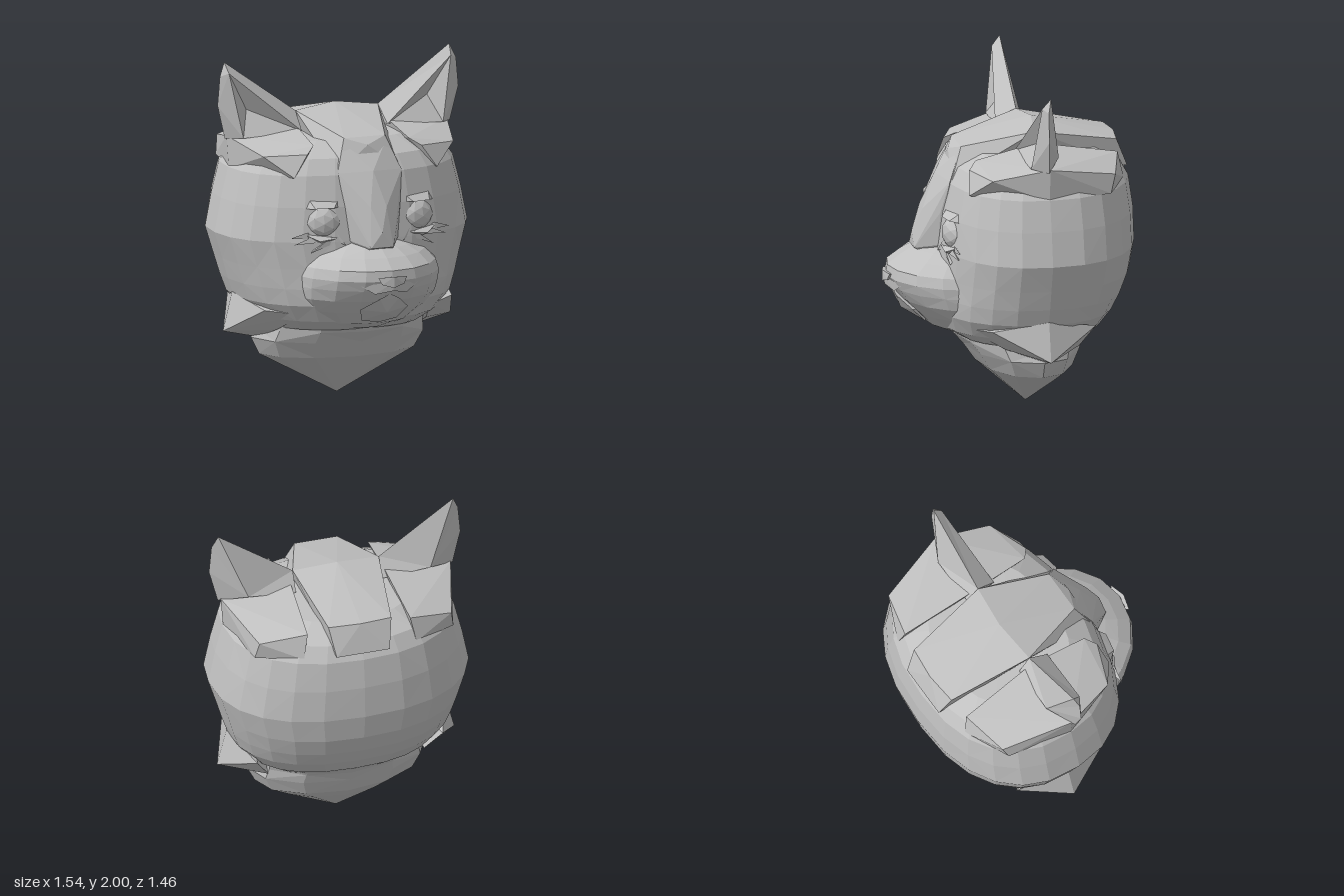
import * as THREE from 'three';
import { ConvexGeometry } from 'three/addons/geometries/ConvexGeometry.js';

const fur = new THREE.MeshStandardMaterial({ color: 0xc0c0c0 });
fur.name = 'grey fur';
fur.flatShading = true;
fur.side = THREE.DoubleSide;

function part(name, geometry, parent) {
  const mesh = new THREE.Mesh(geometry, fur);
  mesh.name = name;
  parent.add(mesh);
  return mesh;
}

function faceted(positions, indices) {
  const indexed = new THREE.BufferGeometry();
  indexed.setAttribute('position', new THREE.Float32BufferAttribute(positions, 3));
  indexed.setIndex(indices);
  const flat = indexed.toNonIndexed();
  flat.computeVertexNormals();
  return flat;
}

// Stack of rounded horizontal rings; rows run downward as [y, halfWidth, zFront, zBack]
function loft(rows, segments, power, zMid) {
  const pos = [], idx = [];
  const bend = (v) => Math.sign(v) * Math.abs(v) ** (2 / power);
  for (const [y, w, zf, zb] of rows) {
    for (let j = 0; j < segments; j++) {
      const a = (j / segments) * Math.PI * 2;
      const c = bend(Math.cos(a));
      pos.push(w * bend(Math.sin(a)), y, zMid + c * (c > 0 ? zf - zMid : zMid - zb));
    }
  }
  for (let i = 0; i < rows.length - 1; i++) {
    for (let j = 0; j < segments; j++) {
      const k = (j + 1) % segments;
      const a = i * segments + j, b = i * segments + k;
      const c = a + segments, d = b + segments;
      // alternating diagonals give the faceted coat
      if ((i + j) % 2) idx.push(c, d, b, c, b, a);
      else idx.push(c, d, a, d, b, a);
    }
  }
  return faceted(pos, idx);
}

const hull = (points) => new ConvexGeometry(points.map((p) => new THREE.Vector3(...p)));
const bothSides = (points) => points.flatMap(([x, y, z]) => (x ? [[x, y, z], [-x, y, z]] : [[x, y, z]]));

function earGeometry() {
  const points = [
    [0.26, 1.68, -0.12], // 0 inner root
    [0.27, 1.58, 0.0],   // 1 inner front root
    [0.70, 1.94, -0.07], // 2 front of tip
    [0.71, 2.0, -0.12],  // 3 tip
    [0.745, 1.92, -0.1], // 4 outer edge
    [0.76, 1.75, -0.1],  // 5 outer edge
    [0.71, 1.55, -0.11], // 6 outer root
    [0.63, 1.56, -0.02], // 7 outer front root
    [0.57, 1.71, -0.12], // 8 inner hollow
    [0.55, 1.60, -0.2],  // 9 back bulge
    [0.26, 1.57, -0.19], // 10 inner back root
  ];
  return faceted(points.flat(), [
    0, 1, 2, 0, 2, 3, 1, 8, 2, 1, 7, 8, 8, 7, 2, 7, 6, 5, 7, 5, 2, 2, 5, 4, 2, 4, 3,
    0, 3, 9, 0, 9, 10, 3, 4, 9, 4, 5, 9, 5, 6, 9, 9, 6, 10, 0, 10, 1,
  ]);
}

// Everything that exists once per side, built on the +x side
function addSide(side) {
  part('ear', earGeometry(), side);

  part('browLobe', hull([
    [0.30, 1.54, 0.24], [0.36, 1.5, 0.29], [0.60, 1.49, 0.2], [0.695, 1.565, -0.12],
    [0.28, 1.62, -0.12], [0.31, 1.55, -0.6], [0.58, 1.49, -0.53], [0.45, 1.37, 0.31],
    [0.68, 1.37, -0.12], [0.60, 1.38, -0.5], [0.34, 1.4, -0.63],
  ]), side);

  part('cheekTuft', hull([
    [0.717, 0.41, -0.12], [0.66, 0.64, -0.12], [0.59, 0.58, 0.2], [0.56, 0.58, -0.42],
    [0.47, 0.44, 0.1], [0.47, 0.44, -0.34], [0.5, 0.36, -0.12], [0.4, 0.56, 0.32],
  ]), side);

  // eye with lids and lashes
  const eye = part('eye', new THREE.IcosahedronGeometry(0.11, 1), side);
  eye.position.set(0.295, 1.11, 0.36);
  eye.scale.set(1, 0.9, 0.65);
  eye.rotation.y = 0.25;
  part('upperLid', hull([
    [0.17, 1.2, 0.37], [0.2, 1.25, 0.38], [0.38, 1.26, 0.33], [0.43, 1.19, 0.32],
    [0.25, 1.2, 0.43], [0.36, 1.2, 0.41], [0.3, 1.22, 0.32],
  ]), side);
  part('lowerLid', hull([
    [0.19, 1.04, 0.4], [0.24, 1.02, 0.43], [0.34, 1.01, 0.43], [0.42, 1.05, 0.37],
    [0.3, 0.98, 0.38], [0.3, 1.04, 0.33],
  ]), side);
  const lashes = [
    [[0.4, 1.06], [0.4, 1.02], [0.5, 1.03]],
    [[0.38, 1.03], [0.34, 1.0], [0.48, 0.99]],
    [[0.26, 1.03], [0.22, 1.0], [0.39, 0.94]],
    [[0.23, 1.05], [0.22, 1.0], [0.18, 0.98]],
  ];
  for (const corners of lashes) {
    part('lash', hull([
      ...corners.map(([x, y], i) => [x, y, (i < 2 ? 0.42 : 0.44) - Math.max(0, x - 0.3) * 0.35]),
      [0.3, 1.0, 0.34],
    ]), side);
  }
  // crease beside the nose
  part('lip', hull([
    [0, 0.8, 0.725], [0, 0.745, 0.715], [0.18, 0.775, 0.655], [0.1, 0.725, 0.68], [0.08, 0.77, 0.6],
  ]), side);
}

export function createModel() {
  const model = new THREE.Group();
  model.name = 'catHead';

  part('skull', loft([
    [1.57, 0.02, -0.1, -0.14], [1.55, 0.45, 0.2, -0.52], [1.47, 0.62, 0.33, -0.65],
    [1.38, 0.685, 0.38, -0.7], [1.2, 0.73, 0.42, -0.725], [1.0, 0.77, 0.44, -0.73],
    [0.84, 0.72, 0.45, -0.705], [0.72, 0.685, 0.46, -0.66], [0.62, 0.65, 0.46, -0.61],
    [0.52, 0.57, 0.42, -0.54], [0.45, 0.48, 0.31, -0.45],
  ], 24, 2.35, -0.12), model);

  // raised strip running over the top of the head
  part('crest', hull(bothSides([
    [0, 1.54, 0.34], [0.13, 1.58, 0.29], [0.26, 1.68, -0.12], [0, 1.71, -0.15],
    [0.19, 1.59, -0.62], [0, 1.595, -0.64], [0.2, 1.39, 0.36], [0.16, 1.42, -0.69],
  ])), model);

  part('noseBridge', hull(bothSides([
    [0.13, 1.55, 0.3], [0.2, 1.39, 0.37], [0, 1.4, 0.42], [0.17, 1.2, 0.42],
    [0.05, 1.2, 0.5], [0, 1.06, 0.555], [0.07, 0.97, 0.555], [0.15, 1.0, 0.43], [0.1, 0.9, 0.4],
  ])), model);

  part('muzzle', loft([
    [1.03, 0.1, 0.42, 0.1], [0.96, 0.3, 0.55, 0.1], [0.92, 0.38, 0.62, 0.1],
    [0.86, 0.44, 0.7, 0.1], [0.8, 0.46, 0.71, 0.1], [0.74, 0.46, 0.68, 0.1],
    [0.67, 0.45, 0.63, 0.1], [0.59, 0.4, 0.55, 0.1], [0.51, 0.3, 0.47, 0.1], [0.46, 0.2, 0.34, 0.1],
  ], 18, 2, 0.2), model);

  part('nose', hull(bothSides([
    [0, 0.83, 0.73], [0.09, 0.825, 0.705], [0.07, 0.785, 0.715], [0, 0.765, 0.73], [0, 0.8, 0.6],
  ])), model);

  part('chin', hull(bothSides([
    [0, 0.72, 0.67], [0.06, 0.69, 0.66], [0.15, 0.62, 0.58], [0.11, 0.54, 0.5],
    [0, 0.52, 0.495], [0, 0.6, 0.62], [0, 0.6, 0.4],
  ])), model);

  part('neck', loft([
    [0.5, 0.52, 0.34, -0.5], [0.43, 0.52, 0.31, -0.45], [0.36, 0.54, 0.25, -0.42],
    [0.26, 0.49, 0.18, -0.38], [0.19, 0.36, 0.1, -0.32], [0, 0.004, -0.116, -0.124],
  ], 12, 2, -0.12), model);

  // mirrored features
  for (const sign of [1, -1]) {
    const side = new THREE.Group();
    side.name = sign > 0 ? 'leftSide' : 'rightSide';
    addSide(side);
    side.scale.x = sign;
    model.add(side);
  }
  return model;
}
